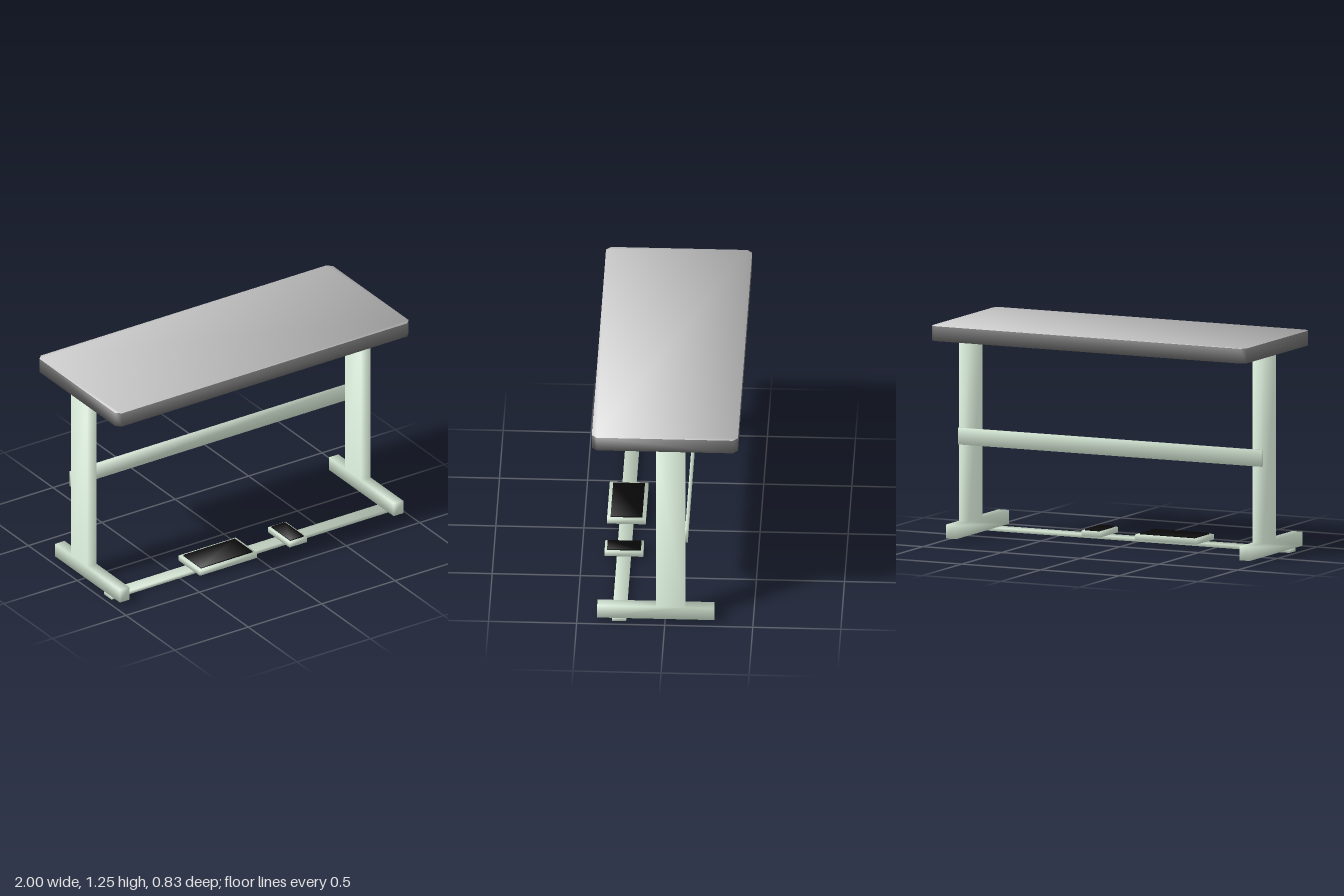
import * as THREE from 'three';
import { mergeVertices } from 'three/addons/utils/BufferGeometryUtils.js';

const frameMat = new THREE.MeshStandardMaterial({ color: 0xd2e4d2 });
const topMat = new THREE.MeshStandardMaterial({ color: 0xcccccc });
const rimMat = new THREE.MeshStandardMaterial({ color: 0x686868 });
const padMat = new THREE.MeshStandardMaterial({ color: 0x0a0a0a });

// Weld the corners and give each one a single normal, weighted by face angle
function smooth(source) {
  source.deleteAttribute('normal');
  source.deleteAttribute('uv');
  const geo = mergeVertices(source);
  const pos = geo.attributes.position, index = geo.index;
  const sums = Array.from({ length: pos.count }, () => new THREE.Vector3());
  const tri = new THREE.Triangle(), normal = new THREE.Vector3();
  for (let i = 0; i < index.count; i += 3) {
    const ids = [0, 1, 2].map((k) => index.getX(i + k));
    tri.setFromAttributeAndIndices(pos, ...ids);
    tri.getNormal(normal);
    const p = [tri.a, tri.b, tri.c];
    ids.forEach((id, k) => {
      const e1 = p[(k + 1) % 3].clone().sub(p[k]);
      const e2 = p[(k + 2) % 3].clone().sub(p[k]);
      sums[id].addScaledVector(normal, e1.angleTo(e2));
    });
  }
  const normals = sums.flatMap((v) => v.normalize().toArray());
  geo.setAttribute('normal', new THREE.Float32BufferAttribute(normals, 3));
  return geo;
}

// Smooth-shaded box given by its [min, max] range on each axis
function box(name, [x0, x1], [y0, y1], [z0, z1], mat = frameMat) {
  const mesh = new THREE.Mesh(smooth(new THREE.BoxGeometry(x1 - x0, y1 - y0, z1 - z0)), mat);
  mesh.position.set((x0 + x1) / 2, (y0 + y1) / 2, (z0 + z1) / 2);
  mesh.name = name;
  return mesh;
}

// Straight extrusion of an outline, starting at z = 0
function extrude(points, depth) {
  const shape = new THREE.Shape(points.map(([x, y]) => new THREE.Vector2(x, y)));
  return new THREE.ExtrudeGeometry(shape, { depth, bevelEnabled: false });
}

// Slab with clipped corners: light faces, dark rim
function tableTop() {
  const w = 1, d = 0.415, c = 0.028;
  const geo = extrude([
    [-w + c, -d], [w - c, -d], [w, -d + c], [w, d - c],
    [w - c, d], [-w + c, d], [-w, d - c], [-w, -d + c],
  ], 0.085);
  geo.rotateX(-Math.PI / 2);
  const mesh = new THREE.Mesh(smooth(geo), [topMat, rimMat]);
  mesh.position.y = 1.17;
  mesh.name = 'tableTop';
  return mesh;
}

// Upright and foot in one piece, an upside-down T seen from the side
function legWithFoot(name, x) {
  const geo = extrude([
    [-0.385, 0.02], [0.28, 0.02], [0.28, 0.1], [0.115, 0.1],
    [0.115, 1.17], [-0.05, 1.17], [-0.05, 0.1], [-0.385, 0.1],
  ], 0.065);
  geo.rotateY(Math.PI / 2);
  const mesh = new THREE.Mesh(smooth(geo), frameMat);
  mesh.position.x = x;
  mesh.name = name;
  return mesh;
}

// Foot pedal: plate with an inset dark pad
function pedal(name, x0, x1, inset) {
  const g = new THREE.Group();
  g.name = name;
  g.add(box(name + 'Plate', [x0, x1], [0.02, 0.052], [0.15, 0.37]));
  g.add(box(name + 'Pad', [x0 + inset, x1 - inset], [0.052, 0.06], [0.15 + inset, 0.37 - inset], padMat));
  return g;
}

export function createModel() {
  const model = new THREE.Group();
  model.name = 'pedalTable';
  model.add(tableTop());

  // Side supports
  model.add(legWithFoot('leftLeg', 0.9), legWithFoot('rightLeg', -0.965));

  // Cross members
  model.add(box('backRail', [-0.965, 0.965], [0.54, 0.635], [-0.13, -0.115]));
  model.add(box('pedalBar', [-0.965, 0.965], [0, 0.02], [0.22, 0.3]));

  // Pedals on the lower bar
  model.add(pedal('largePedal', -0.41, -0.02, 0.02));
  model.add(pedal('smallPedal', 0.2, 0.32, 0.014));
  return model;
}
